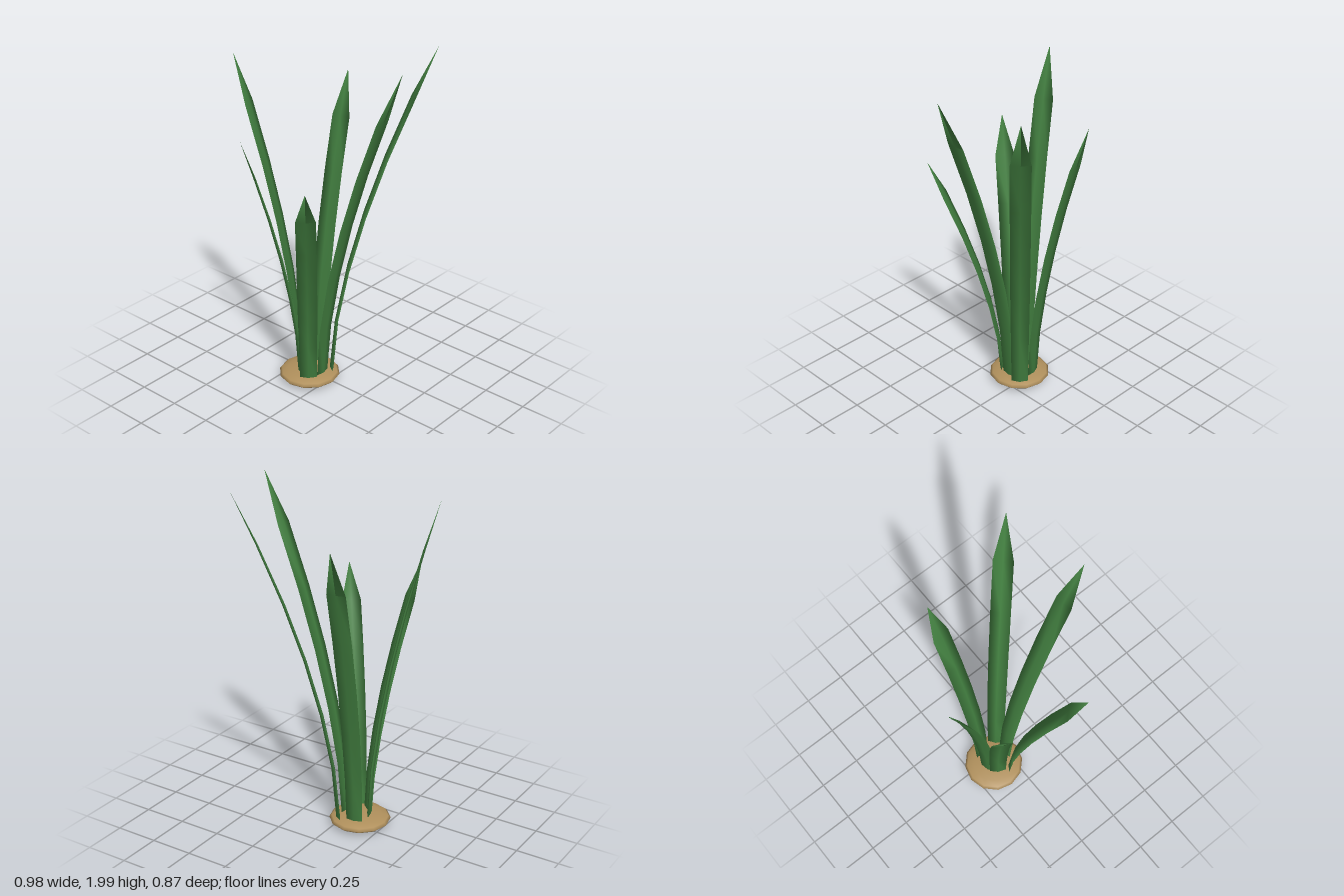
import * as THREE from 'three';

const leafGreen = new THREE.MeshStandardMaterial({ name: 'leafGreen', color: 0x427f40 });
const bulbTan = new THREE.MeshStandardMaterial({ name: 'bulbTan', color: 0xb0905c });

const START_Y = 0.04;
// share of the blade's height, half width, half thickness
const SECTIONS = [
  [0, 0.047, 0.011], [0.17, 0.051, 0.01], [0.34, 0.054, 0.01],
  [0.51, 0.055, 0.009], [0.68, 0.055, 0.008], [0.855, 0.054, 0.006],
];

// Thin lens-shaped blade that arches outward and ends in a point
function makeBlade(root, tip) {
  const [rx, rz] = root;
  const [tx, ty, tz] = tip;
  const out = new THREE.Vector3(tx - rx, 0, tz - rz).normalize();
  const side = new THREE.Vector3(0, 1, 0).cross(out);
  const positions = [];
  const index = [];

  SECTIONS.forEach(([t, halfWidth, halfThick], i) => {
    const bend = Math.pow(t, 1.65);
    const centre = new THREE.Vector3(
      rx + (tx - rx) * bend, START_Y + (ty - START_Y) * t, rz + (tz - rz) * bend);
    // four corners: outer ridge, one edge, inner ridge, other edge
    for (const [o, s] of [[1, 0], [0, 1], [-1, 0], [0, -1]]) {
      const p = centre.clone().addScaledVector(out, o * halfThick).addScaledVector(side, s * halfWidth);
      positions.push(p.x, p.y, p.z);
    }
    if (i === 0) return;
    for (let j = 0; j < 4; j++) {
      const k = (j + 1) % 4;
      const a = (i - 1) * 4, b = i * 4;
      index.push(a + j, a + k, b + j, a + k, b + k, b + j);
    }
  });

  // pointed tip and closed root
  const last = (SECTIONS.length - 1) * 4;
  positions.push(tx, ty, tz);
  for (let j = 0; j < 4; j++) index.push(last + j, last + (j + 1) % 4, last + 4);
  index.push(0, 2, 1, 0, 3, 2);

  const geometry = new THREE.BufferGeometry();
  geometry.setAttribute('position', new THREE.Float32BufferAttribute(positions, 3));
  geometry.setIndex(index);
  geometry.computeVertexNormals();
  return new THREE.Mesh(geometry, leafGreen);
}

export function createModel() {
  const model = new THREE.Group();
  model.name = 'leafyPlant';

  // Flattened bulb at the foot
  const bulb = new THREE.Mesh(new THREE.SphereGeometry(0.175, 12, 8), bulbTan);
  bulb.name = 'bulb';
  bulb.scale.y = 0.2;
  bulb.position.set(-0.11, 0.043, 0.045);
  model.add(bulb);

  // Ring of blades: root (x, z) and tip (x, y, z)
  const blades = {
    backLeftBlade: [[-0.022, -0.045], [0.372, 2.0, -0.438]],
    leftBlade: [[-0.022, 0.038], [0.489, 2.0, 0.017]],
    frontLeftBlade: [[-0.048, 0.125], [0.212, 1.41, 0.432]],
    frontRightBlade: [[-0.125, 0.105], [-0.293, 1.54, 0.37]],
    rightBlade: [[-0.16, 0.058], [-0.49, 1.94, 0.202]],
    backRightBlade: [[-0.127, -0.043], [-0.183, 1.76, -0.372]],
  };
  for (const [name, [root, tip]] of Object.entries(blades)) {
    const blade = makeBlade(root, tip);
    blade.name = name;
    model.add(blade);
  }
  return model;
}
